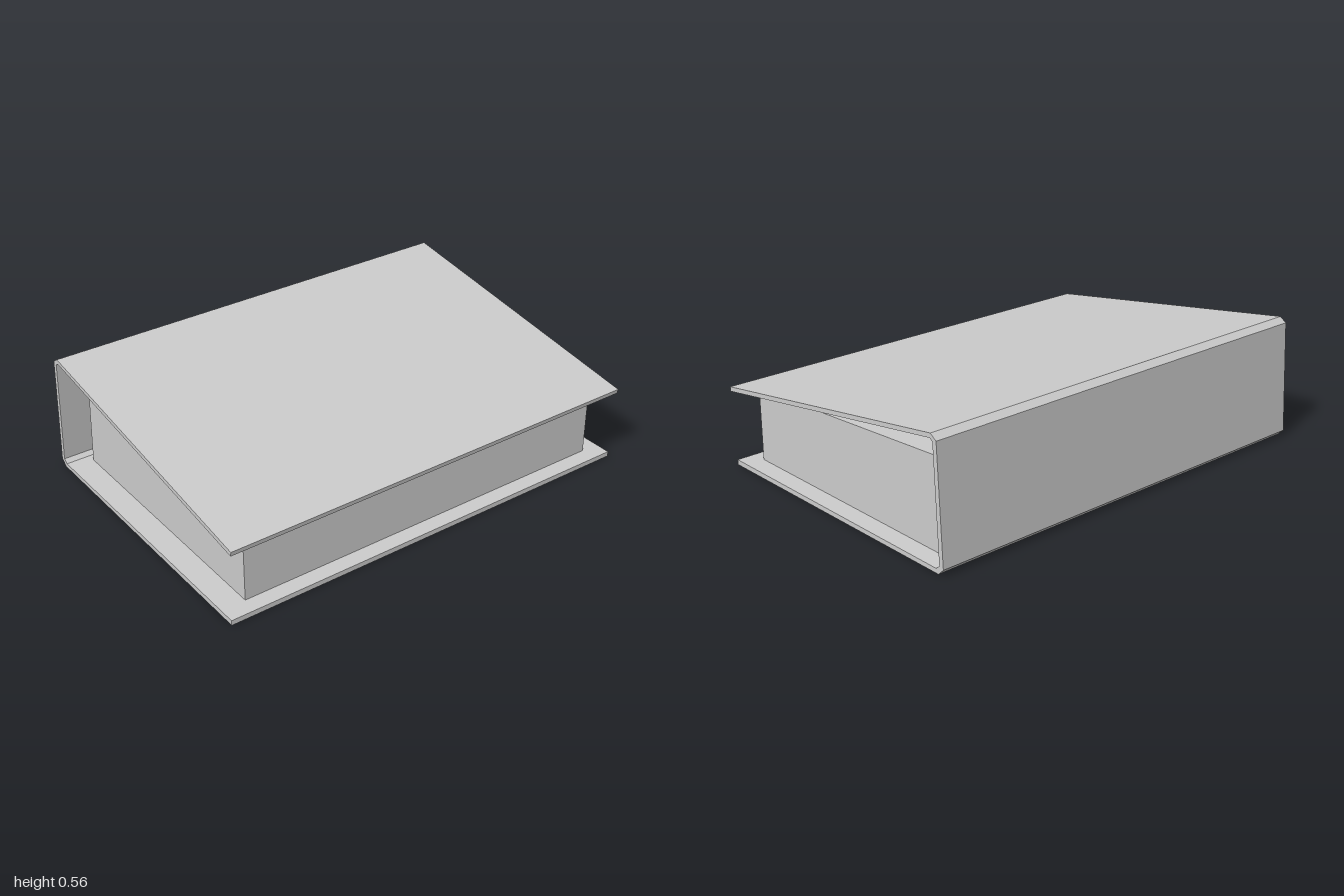
import * as THREE from 'three';

const material = new THREE.MeshStandardMaterial({ color: 0xcccccc, flatShading: true });

// Extrudes a side profile of [z, y] points across the width from x0 to x1
function extrudeAcross(name, profile, x0, x1) {
  const shape = new THREE.Shape(profile.map(([z, y]) => new THREE.Vector2(-z, y)));
  const geometry = new THREE.ExtrudeGeometry(shape, { depth: x1 - x0, bevelEnabled: false });
  geometry.rotateY(Math.PI / 2).translate(x0, 0, 0);
  const mesh = new THREE.Mesh(geometry, material);
  mesh.name = name;
  return mesh;
}

export function createModel() {
  const model = new THREE.Group();
  model.name = 'book';

  // Cover: base board, spine and slightly raised top board in one folded strip
  model.add(extrudeAcross('cover', [
    // outer face, front bottom to front top
    [0.686, 0], [-0.675, 0], [-0.704, 0.028], [-0.677, 0.533], [-0.645, 0.555], [0.704, 0.355],
    // inner face, back to the front bottom
    [0.701, 0.335], [-0.641, 0.535], [-0.656, 0.524], [-0.681, 0.036], [-0.661, 0.02], [0.686, 0.023],
  ], -1, 1));

  // Page block, sloping down to the front
  model.add(extrudeAcross('pages', [
    [0.612, 0.02], [-0.622, 0.018], [-0.597, 0.42], [0.612, 0.349],
  ], -0.89, 0.915));

  return model;
}
